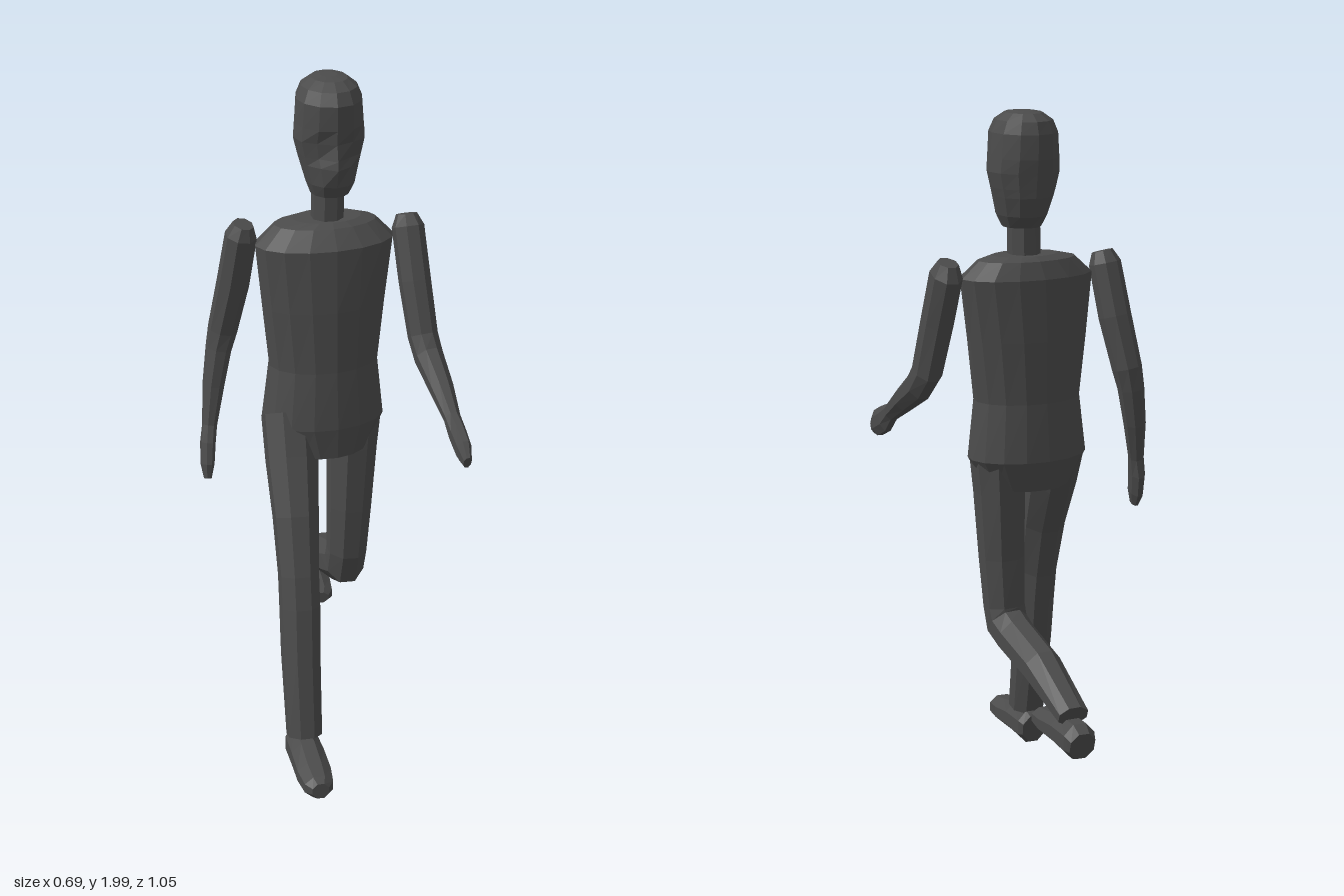
import * as THREE from 'three';

const charcoal = new THREE.MeshStandardMaterial({ color: 0x4b4b4b, flatShading: true });
charcoal.name = 'charcoal';

// Skin a closed body over rings [x, y, z, halfWidth, halfDepth].
// Rings follow the path unless a fixed axis is given; shift(p, ring, side) may move points.
function loft(name, rings, sides, { axis = null, yaw = () => 0, shift = null, turn = 0 } = {}) {
  const centres = rings.map((r) => new THREE.Vector3(r[0], r[1], r[2]));
  const last = rings.length - 1;
  const grid = rings.map((r, i) => {
    const n = axis ? axis.clone()
      : centres[Math.min(i + 1, last)].clone().sub(centres[Math.max(i - 1, 0)]).normalize();
    const u = new THREE.Vector3(1, 0, 0);
    u.addScaledVector(n, -u.dot(n)).normalize();
    const v = n.clone().cross(u);
    u.applyAxisAngle(n, yaw(i));
    v.applyAxisAngle(n, yaw(i));
    return Array.from({ length: sides }, (_, j) => {
      const a = ((j + turn) / sides) * Math.PI * 2;
      const p = centres[i].clone()
        .addScaledVector(u, Math.cos(a) * r[3]).addScaledVector(v, Math.sin(a) * r[4]);
      if (shift) shift(p, i, j);
      return p;
    });
  });
  const pos = [];
  const tri = (...pts) => pts.forEach((p) => pos.push(p.x, p.y, p.z));
  for (let j = 0; j < sides; j++) {
    const k = (j + 1) % sides;
    for (let i = 0; i < last; i++) {
      tri(grid[i][j], grid[i][k], grid[i + 1][k]);
      tri(grid[i][j], grid[i + 1][k], grid[i + 1][j]);
    }
    tri(centres[0], grid[0][k], grid[0][j]);
    tri(centres[last], grid[last][j], grid[last][k]);
  }
  const geo = new THREE.BufferGeometry();
  geo.setAttribute('position', new THREE.Float32BufferAttribute(pos, 3));
  geo.computeVertexNormals();
  const mesh = new THREE.Mesh(geo, charcoal);
  mesh.name = name;
  return mesh;
}

export function createModel() {
  const model = new THREE.Group();
  model.name = 'walkingFigure';
  const up = new THREE.Vector3(0, 1, 0);

  // Torso, hips turned slightly against the shoulders
  model.add(loft('torso', [
    [0.01, 0.91, 0.01, 0.13, 0.115],
    [0.01, 1.0, 0.0, 0.183, 0.13],
    [0.013, 1.17, -0.005, 0.162, 0.12],
    [0.015, 1.35, -0.012, 0.183, 0.122],
    [0.02, 1.53, -0.02, 0.205, 0.118],
    [0.025, 1.58, -0.035, 0.15, 0.085],
    [0.03, 1.592, -0.035, 0.1, 0.065],
  ], 16, { axis: up, yaw: (i) => 0.16 - i * 0.015 }));

  // Neck
  model.add(loft('neck', [
    [0.03, 1.56, -0.03, 0.047, 0.05],
    [0.033, 1.72, -0.03, 0.047, 0.05],
  ], 8, { axis: up, turn: 0.5 }));

  // Head: side 9 is the middle of the face, 8 and 10 hold the eyes
  model.add(loft('head', [
    [0.035, 1.67, -0.02, 0.055, 0.065],
    [0.037, 1.705, -0.025, 0.07, 0.09],
    [0.037, 1.76, -0.035, 0.085, 0.1],
    [0.037, 1.785, -0.037, 0.092, 0.102],
    [0.037, 1.83, -0.038, 0.103, 0.108],
    [0.037, 1.87, -0.04, 0.1, 0.113],
    [0.037, 1.94, -0.04, 0.095, 0.115],
    [0.038, 1.975, -0.045, 0.08, 0.1],
    [0.04, 1.995, -0.05, 0.052, 0.068],
    [0.04, 2.0, -0.055, 0.025, 0.03],
  ], 12, {
    axis: up,
    shift: (p, i, j) => {
      if (j === 9 && i === 2) p.z += 0.02;
      if (j === 9 && i === 3) p.z += 0.016;
      if ((j === 8 || j === 10) && (i === 3 || i === 4)) p.z -= 0.012;
    },
  }));

  // Arms: shoulder, elbow, wrist, hand
  model.add(loft('leftArm', [
    [0.265, 1.58, -0.04, 0.03, 0.035],
    [0.267, 1.545, -0.03, 0.046, 0.06],
    [0.275, 1.4, 0.025, 0.046, 0.058],
    [0.288, 1.25, 0.075, 0.043, 0.056],
    [0.295, 1.2, 0.12, 0.042, 0.048],
    [0.308, 1.14, 0.215, 0.035, 0.038],
    [0.316, 1.085, 0.305, 0.024, 0.028],
    [0.32, 1.055, 0.35, 0.024, 0.042],
    [0.322, 1.03, 0.41, 0.022, 0.042],
    [0.322, 1.01, 0.45, 0.012, 0.022],
  ], 8, { turn: 0.5 }));
  model.add(loft('rightArm', [
    [-0.21, 1.585, -0.035, 0.03, 0.035],
    [-0.216, 1.55, -0.042, 0.046, 0.05],
    [-0.235, 1.4, -0.072, 0.047, 0.052],
    [-0.262, 1.25, -0.1, 0.043, 0.048],
    [-0.275, 1.19, -0.1, 0.038, 0.044],
    [-0.295, 1.08, -0.085, 0.032, 0.036],
    [-0.312, 0.97, -0.06, 0.022, 0.026],
    [-0.32, 0.92, -0.048, 0.022, 0.04],
    [-0.326, 0.86, -0.028, 0.02, 0.038],
    [-0.328, 0.82, -0.015, 0.011, 0.02],
  ], 8, { turn: 0.5 }));

  // Legs: hip, knee, ankle
  model.add(loft('rightLeg', [
    [-0.095, 1.02, 0.02, 0.08, 0.085],
    [-0.097, 0.9, 0.075, 0.078, 0.08],
    [-0.102, 0.75, 0.15, 0.068, 0.07],
    [-0.106, 0.59, 0.205, 0.06, 0.066],
    [-0.107, 0.5, 0.225, 0.06, 0.066],
    [-0.11, 0.36, 0.25, 0.058, 0.064],
    [-0.11, 0.115, 0.297, 0.053, 0.055],
  ], 8, { turn: 0.5 }));
  model.add(loft('leftLeg', [
    [0.105, 1.02, -0.01, 0.082, 0.09],
    [0.1, 0.9, -0.008, 0.074, 0.084],
    [0.092, 0.7, -0.005, 0.066, 0.072],
    [0.086, 0.55, -0.01, 0.06, 0.064],
    [0.083, 0.5, -0.025, 0.06, 0.07],
    [0.079, 0.475, -0.09, 0.06, 0.062],
    [0.066, 0.43, -0.25, 0.058, 0.058],
    [0.055, 0.345, -0.45, 0.048, 0.033],
  ], 8, { turn: 0.5 }));

  // Shoes, laid out heel to toe
  model.add(loft('rightShoe', [
    [-0.11, 0.06, 0.232, 0.04, 0.046],
    [-0.11, 0.063, 0.25, 0.05, 0.056],
    [-0.11, 0.064, 0.345, 0.052, 0.052],
    [-0.11, 0.056, 0.43, 0.053, 0.043],
    [-0.11, 0.052, 0.495, 0.045, 0.036],
    [-0.11, 0.052, 0.52, 0.026, 0.025],
  ], 8, { turn: 0.5 }));
  model.add(loft('leftShoe', [
    [0.055, 0.277, -0.515, 0.04, 0.045],
    [0.055, 0.285, -0.49, 0.05, 0.056],
    [0.055, 0.288, -0.4, 0.052, 0.05],
    [0.055, 0.283, -0.31, 0.053, 0.039],
    [0.055, 0.281, -0.245, 0.045, 0.029],
    [0.055, 0.281, -0.22, 0.026, 0.018],
  ], 8, { turn: 0.5 }));

  return model;
}
